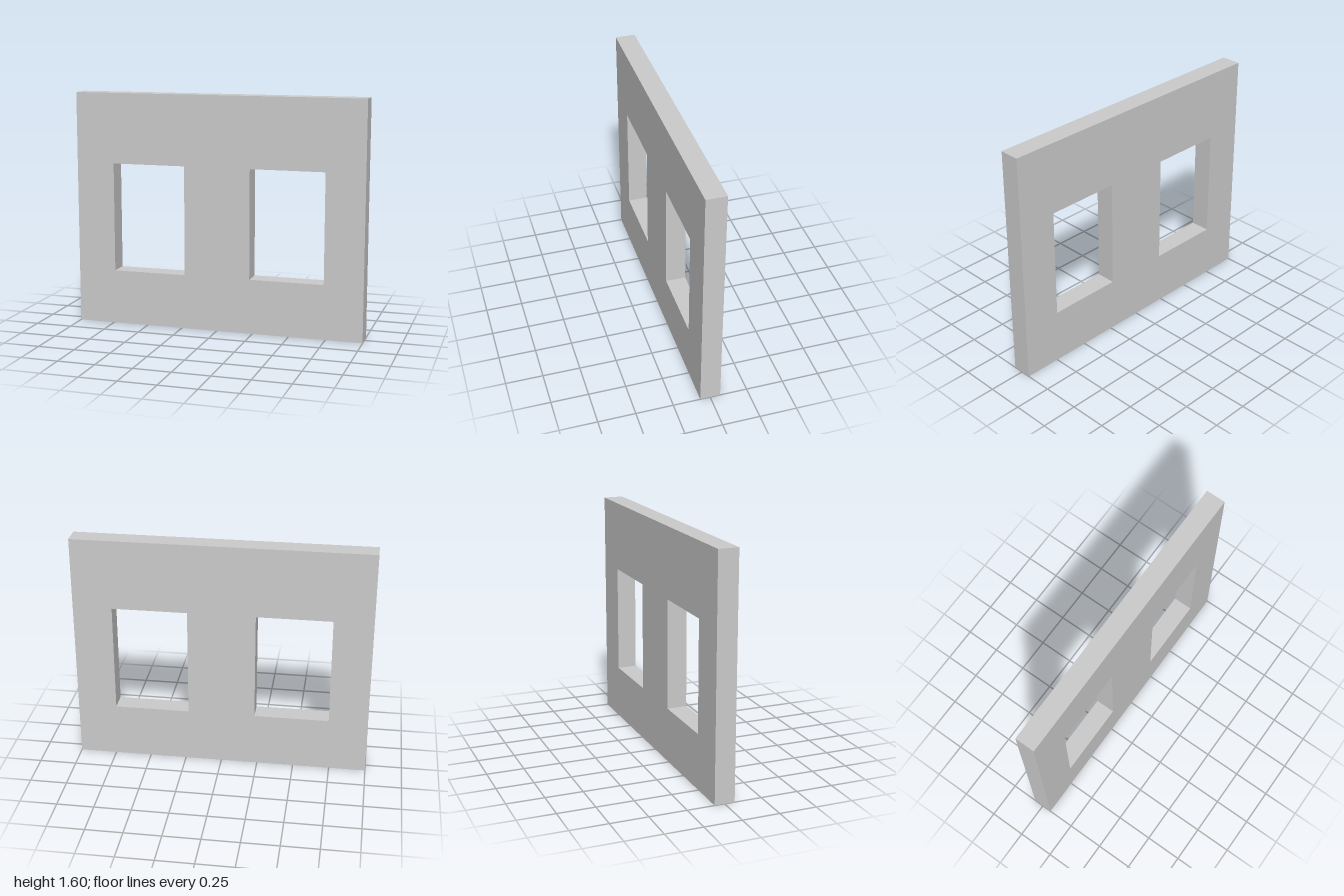
import * as THREE from 'three';

const WIDTH = 2, HEIGHT = 1.6, DEPTH = 0.135;
const WINDOW = { inner: 0.228, outer: 0.735, bottom: 0.373, top: 1.12 };

// Trace a closed rectangle into a shape or hole path
function rectangle(path, x0, y0, x1, y1) {
  path.moveTo(x0, y0);
  path.lineTo(x1, y0);
  path.lineTo(x1, y1);
  path.lineTo(x0, y1);
  path.closePath();
  return path;
}

export function createModel() {
  const group = new THREE.Group();
  group.name = 'windowWall';

  // Wall slab outline
  const outline = rectangle(new THREE.Shape(), -WIDTH / 2, 0, WIDTH / 2, HEIGHT);

  // Mirrored pair of window openings
  for (const side of [-1, 1]) {
    outline.holes.push(rectangle(new THREE.Path(),
      side * WINDOW.inner, WINDOW.bottom, side * WINDOW.outer, WINDOW.top));
  }

  const geometry = new THREE.ExtrudeGeometry(outline, { depth: DEPTH, bevelEnabled: false });
  geometry.translate(0, 0, -DEPTH / 2);

  const wall = new THREE.Mesh(geometry,
    new THREE.MeshStandardMaterial({ color: 0xcccccc, flatShading: true }));
  wall.name = 'wall';
  group.add(wall);
  return group;
}
